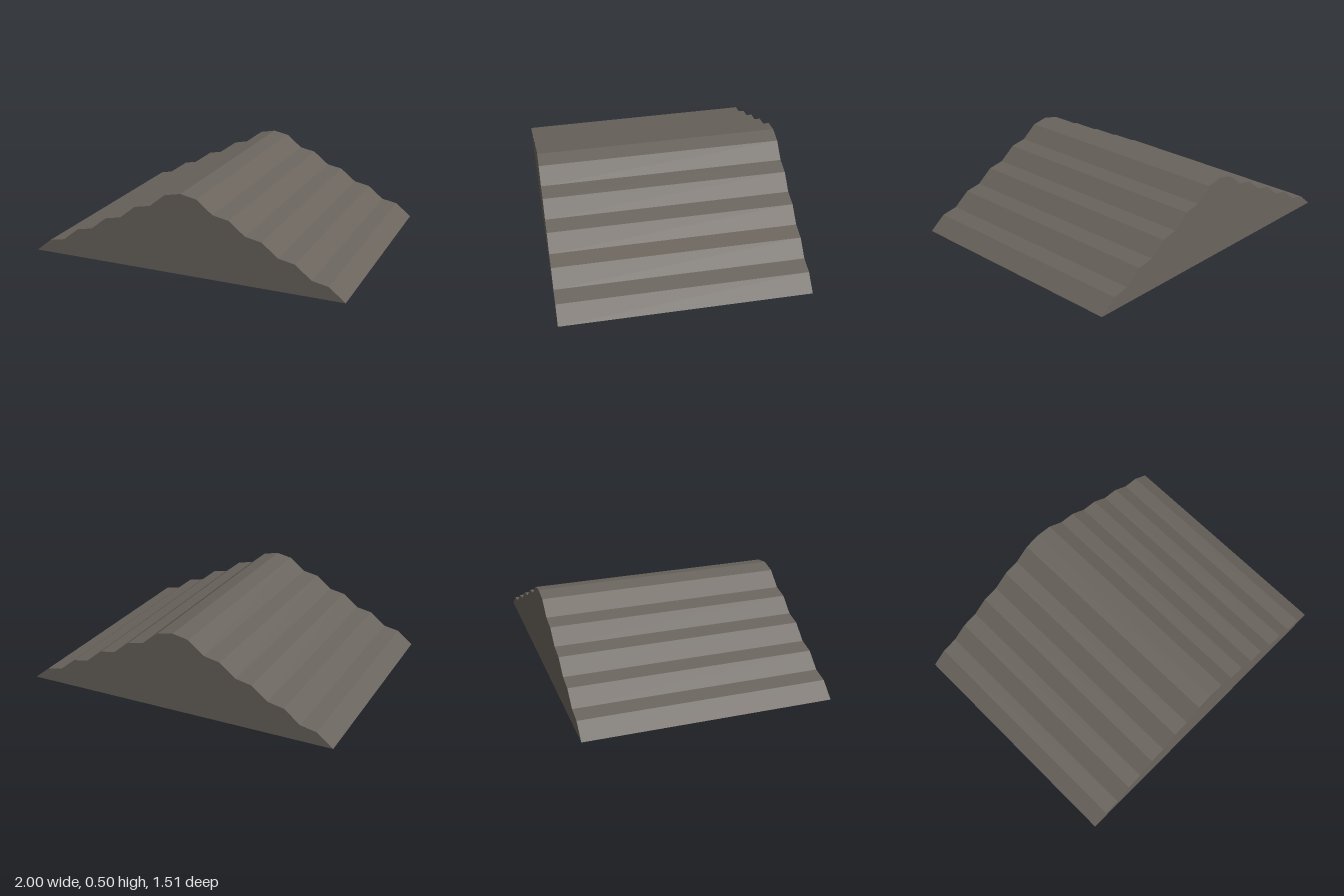
import * as THREE from 'three';

export function createModel() {
  const group = new THREE.Group();
  group.name = 'roof';
  const grey = new THREE.MeshStandardMaterial({ color: 0x6a645d, side: THREE.DoubleSide });
  grey.name = 'warm grey';

  // Rippled gable: each 0.2 step has a steep riser and a shallow cap
  const steps = 5, length = 1.514;
  const half = [];
  for (let i = 0; i < steps; i++) {
    half.push([1 - 0.2 * i, 0.1 * i], [0.9 - 0.2 * i, 0.1 * i + 0.08]);
  }
  const right = half.map(([x, y]) => new THREE.Vector2(x, y));
  const left = half.map(([x, y]) => new THREE.Vector2(-x, y)).reverse();
  const profile = new THREE.Shape([...right, new THREE.Vector2(0, 0.5), ...left]);

  // Solid roof with flat gable ends and base
  const geometry = new THREE.ExtrudeGeometry(profile, { depth: length, bevelEnabled: false });
  geometry.translate(0, 0, -length / 2);
  const roof = new THREE.Mesh(geometry, grey);
  roof.name = 'gableRoof';
  group.add(roof);
  return group;
}
